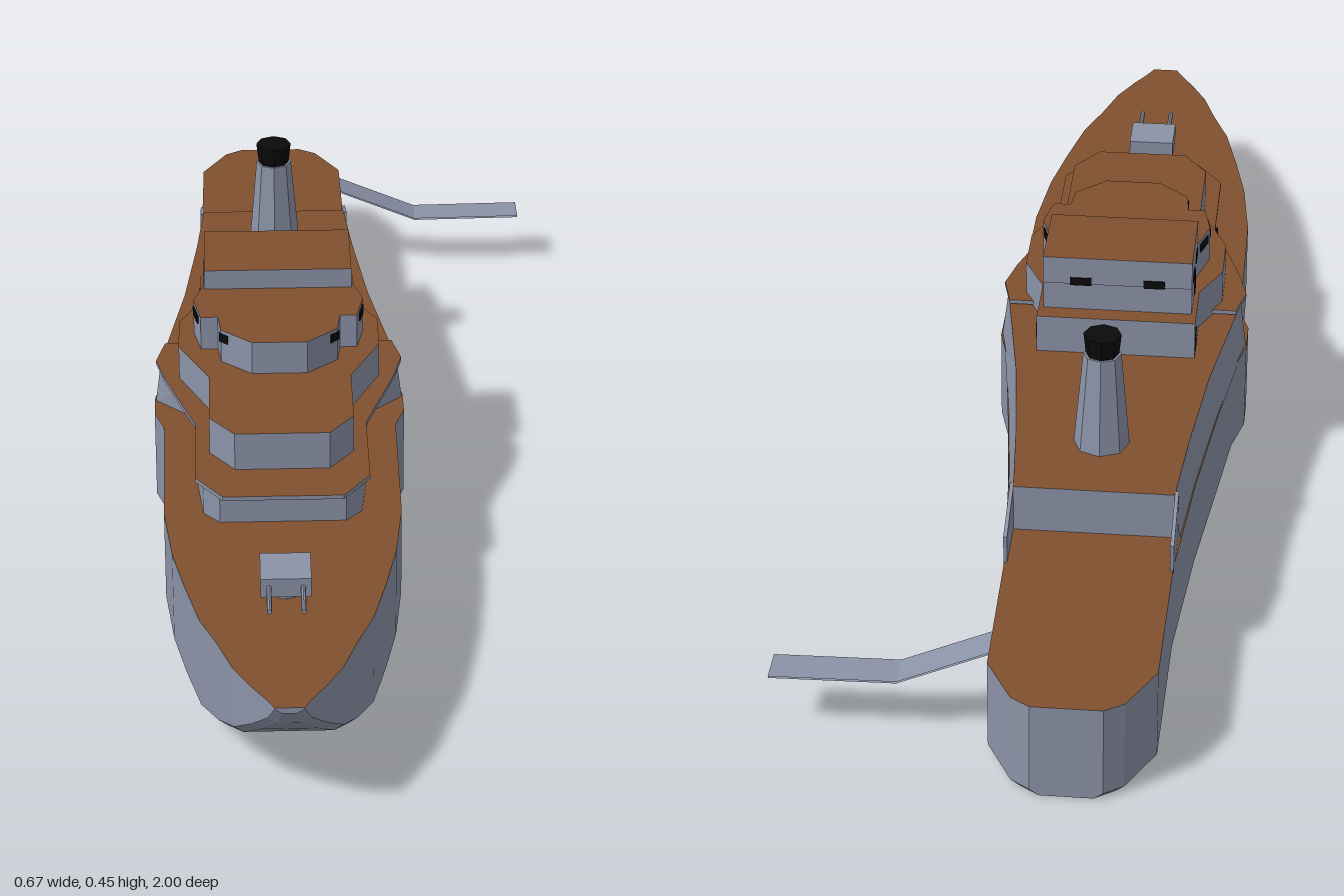
import * as THREE from 'three';

const mat = (color) => new THREE.MeshStandardMaterial({ color, flatShading: true, side: THREE.DoubleSide });
const GREY = mat(0x8b93a7), WOOD = mat(0x80502f), BLACK = mat(0x0a0a0a);

function surface(positions, material, name) {
  const g = new THREE.BufferGeometry();
  g.setAttribute('position', new THREE.Float32BufferAttribute(positions, 3));
  g.computeVertexNormals();
  const m = new THREE.Mesh(g, material);
  m.name = name;
  return m;
}

// Lofts mirrored cross-sections from bow to stern: [z, bottom half-width, top half-width, bottom y, top y].
// The top surface becomes a wooden deck, everything else is grey plating.
function loft(name, stations, chamfer = 0) {
  const rings = stations.map(([z, wb, wt, yb, yt]) => {
    const c = Math.min(chamfer, wb / 2);
    const half = c ? [[wb - c, yb], [wb, yb + c * 0.7], [wt, yt]] : [[wb, yb], [wt, yt]];
    const left = half.map(([x, y]) => [-x, y]).reverse();
    return [...left, ...half].map(([x, y]) => new THREE.Vector3(x, y, z));
  });
  const sides = [], deck = [];
  const tri = (out, ...pts) => pts.forEach((p) => out.push(p.x, p.y, p.z));
  const n = rings[0].length;
  for (let i = 0; i < rings.length - 1; i++) {
    for (let j = 0; j < n; j++) {
      const k = (j + 1) % n, out = j === n - 1 ? deck : sides;
      const a = rings[i][j], b = rings[i][k], c = rings[i + 1][k], d = rings[i + 1][j];
      tri(out, a, d, c);
      tri(out, a, c, b);
    }
  }
  const first = rings[0], last = rings[rings.length - 1];
  for (let j = 1; j < n - 1; j++) {
    tri(sides, first[0], first[j], first[j + 1]);
    tri(sides, last[0], last[j + 1], last[j]);
  }
  const group = new THREE.Group();
  group.name = name;
  group.add(surface(sides, GREY, name + 'Plating'), surface(deck, WOOD, name + 'Deck'));
  return group;
}

// Straight-walled level from a plan of [z, half-width]
const level = (name, plan, yb, yt) => loft(name, plan.map(([z, w]) => [z, w, w, yb(z), yt(z)]));

function add(parent, name, geometry, material, x, y, z, ry = 0) {
  const m = new THREE.Mesh(geometry, material);
  m.name = name;
  m.position.set(x, y, z);
  m.rotation.y = ry;
  parent.add(m);
  return m;
}
const box = (w, h, d) => new THREE.BoxGeometry(w, h, d);

export function createModel() {
  const model = new THREE.Group();
  const ship = new THREE.Group();
  ship.name = 'ship';
  ship.position.x = -0.129;
  model.add(ship);
  const deckY = (z) => 0.19 + 0.025 * z;

  // Hull: [z, half-width, keel height]
  const hull = [
    [1, 0.022, 0.205], [0.98, 0.032, 0.175], [0.94, 0.056, 0.138], [0.89, 0.082, 0.1], [0.82, 0.105, 0.065],
    [0.75, 0.132, 0.047], [0.65, 0.155, 0.042], [0.55, 0.175, 0.04], [0.42, 0.189, 0.037], [0.13, 0.192, 0.03],
    [0.08, 0.208, 0.029], [0.02, 0.208, 0.028], [-0.05, 0.19, 0.027], [-0.21, 0.172, 0.025], [-0.4, 0.15, 0.022],
    [-0.63, 0.131, 0.016], [-0.9, 0.128, 0.008], [-0.98, 0.085, 0.005], [-1, 0.055, 0.004],
  ];
  ship.add(loft('hull', hull.map(([z, w, yb]) => [z, w, w, yb, deckY(z)]), 0.014));

  // Main deckhouse, spreading to the full beam amidships and running aft
  const house = [
    [0.45, 0.1, 0.1, 0.255], [0.42, 0.126, 0.126, 0.266], [0.3, 0.138, 0.138, 0.27], [0.1, 0.138, 0.138, 0.27],
    [0.03, 0.207, 0.196, 0.27], [-0.02, 0.197, 0.188, 0.267], [-0.21, 0.171, 0.158, 0.264],
    [-0.4, 0.149, 0.138, 0.259], [-0.55, 0.136, 0.126, 0.255],
  ];
  ship.add(loft('deckhouse', house.map(([z, wb, wt, yt]) => [z, wb, wt, deckY(z) - 0.006, yt])));

  // Overhanging promenade deck
  ship.add(level('promenade',
    [[0.5, 0.095], [0.44, 0.138], [0.27, 0.138], [0.11, 0.19], [0.05, 0.204], [-0.01, 0.19]],
    () => 0.27, () => 0.277));

  // Upper house, bridge and wheelhouse
  ship.add(level('upperHouse',
    [[0.415, 0.075], [0.36, 0.115], [0.22, 0.115], [0.11, 0.165], [0.02, 0.165], [-0.05, 0.13], [-0.15, 0.13]],
    () => 0.262, (z) => 0.333 + 0.02 * z));
  ship.add(level('bridge',
    [[0.21, 0.045], [0.165, 0.095], [0.12, 0.1], [0.12, 0.128], [0.06, 0.14], [0, 0.122], [-0.12, 0.122]],
    () => 0.325, () => 0.394));
  ship.add(level('wheelhouse', [[0.02, 0.122], [-0.125, 0.122]], () => 0.38, () => 0.428));

  // Side bulwarks stepping down to the aft deck
  const wedge = new THREE.Shape([[-0.54, 0.17], [-0.54, 0.256], [-0.64, 0.22], [-0.64, 0.17]]
    .map(([z, y]) => new THREE.Vector2(z, y)));
  const wedgeGeo = new THREE.ExtrudeGeometry(wedge, { depth: 0.006, bevelEnabled: false }).rotateY(-Math.PI / 2);
  for (const s of [-1, 1]) add(ship, 'aftBulwark', wedgeGeo, GREY, s * 0.129 + 0.003, 0, 0);

  // Windows and doors on both sides: [x, y, z, height, length, turn]
  const openings = [
    [0.138, 0.235, 0.33, 0.014, 0.018, 0], [0.138, 0.23, 0.17, 0.014, 0.014, 0], [0.146, 0.215, 0.092, 0.035, 0.02, -0.78],
    [0.09, 0.38, 0.168, 0.016, 0.02, -0.8], [0.136, 0.38, 0.085, 0.014, 0.035, -0.2],
    [0.132, 0.38, 0.03, 0.014, 0.035, 0.29], [0.122, 0.382, -0.015, 0.014, 0.03, 0],
    [0.122, 0.382, -0.08, 0.014, 0.03, 0], [0.122, 0.352, -0.05, 0.036, 0.02, 0],
    [0.13, 0.295, -0.135, 0.036, 0.016, 0],
  ];
  for (const s of [-1, 1]) {
    for (const [x, y, z, h, l, turn] of openings) add(ship, 'opening', box(0.003, h, l), BLACK, s * x, y, z, s * turn);
    add(ship, 'aftWindow', box(0.035, 0.014, 0.003), BLACK, s * 0.06, 0.385, -0.125);
  }

  // Funnel with flared black cap
  add(ship, 'funnel', new THREE.CylinderGeometry(0.03, 0.045, 0.17, 8), GREY, 0, 0.337, -0.41);
  add(ship, 'funnelCap', new THREE.CylinderGeometry(0.03, 0.026, 0.036, 8), BLACK, 0, 0.438, -0.41);

  // Twin gun turret
  const gun = new THREE.Group();
  gun.name = 'gunTurret';
  gun.position.z = 0.667;
  ship.add(gun);
  add(gun, 'turretBase', new THREE.CylinderGeometry(0.024, 0.024, 0.025, 10), GREY, 0, 0.213, 0);
  add(gun, 'turretHouse', box(0.078, 0.032, 0.076), GREY, 0, 0.236, 0);
  for (const s of [-1, 1]) {
    const barrel = new THREE.CylinderGeometry(0.004, 0.004, 0.075, 8).rotateX(Math.PI / 2);
    add(gun, 'gunBarrel', barrel, GREY, s * 0.026, 0.237, 0.07);
  }

  // Boarding ramp on the left quarter: sloped length then flat landing
  const path = [[0.125, 0.166, -0.842], [0.269, 0.104, -0.845], [0.464, 0.104, -0.85]];
  const ramp = [];
  for (let i = 0; i < 2; i++) {
    const [x0, y0, z0] = path[i], [x1, y1, z1] = path[i + 1], h = 0.029;
    for (const dy of [0, -0.003]) {
      ramp.push(x0, y0 + dy, z0 - h, x0, y0 + dy, z0 + h, x1, y1 + dy, z1 + h);
      ramp.push(x0, y0 + dy, z0 - h, x1, y1 + dy, z1 + h, x1, y1 + dy, z1 - h);
    }
  }
  ship.add(surface(ramp, GREY, 'boardingRamp'));
  return model;
}
